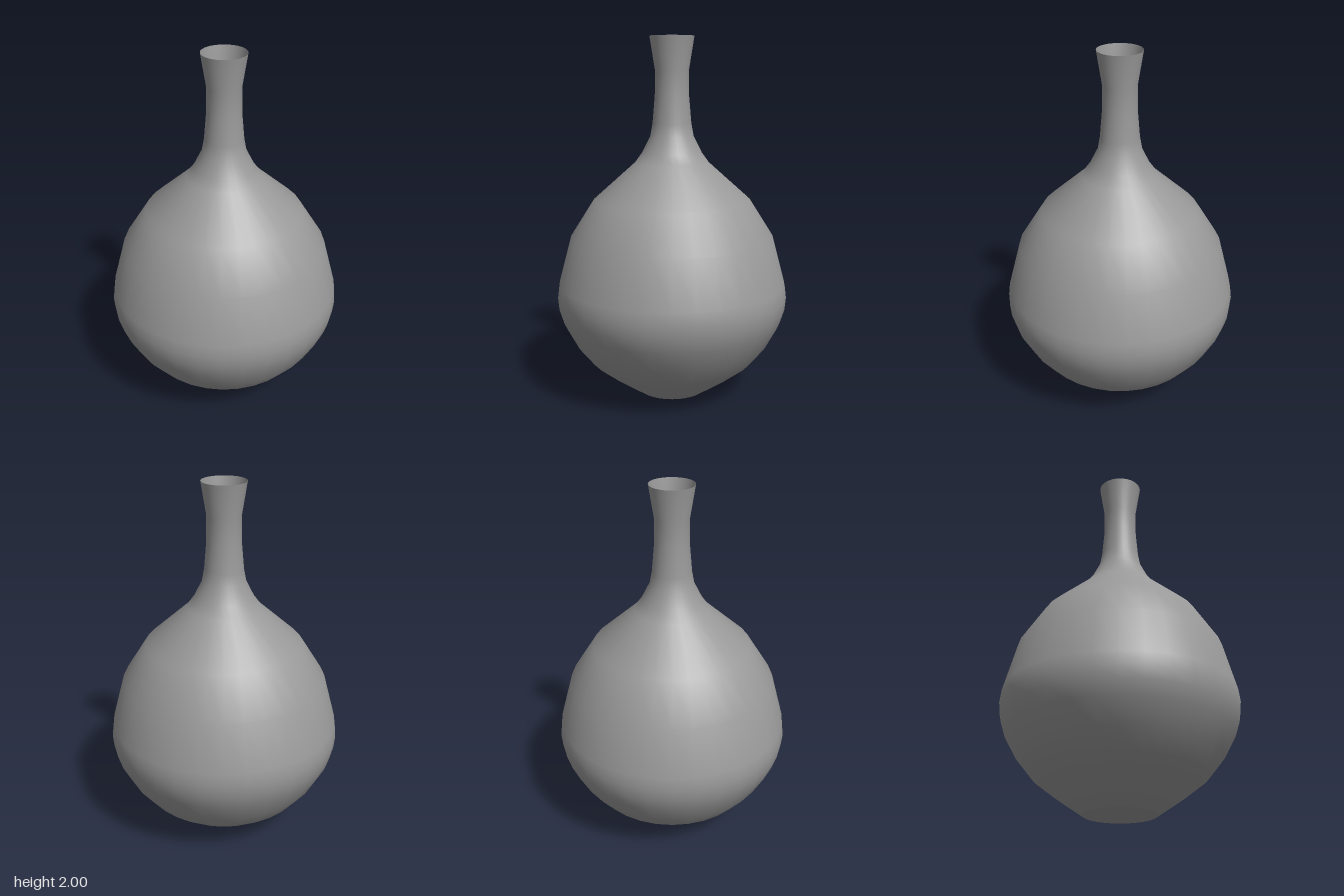
import * as THREE from 'three';

export function createModel() {
  const group = new THREE.Group();
  group.name = 'vase';
  const clay = new THREE.MeshStandardMaterial({ color: 0x999999, side: THREE.DoubleSide });
  clay.name = 'grey clay';
  const segments = 32;

  // Thin open wall, from the foot up to the flared lip: [radius, height]
  const profile = [
    [0.195, 0], [0.35, 0.106], [0.465, 0.195], [0.55, 0.3], [0.615, 0.42],
    [0.64, 0.5], [0.647, 0.57], [0.638, 0.64], [0.568, 0.9], [0.435, 1.11],
    [0.205, 1.315], [0.165, 1.37], [0.12, 1.46], [0.107, 1.53],
    [0.094, 1.68], [0.093, 1.82], [0.122, 2],
  ].map(([r, y]) => new THREE.Vector2(r, y));
  const wall = new THREE.Mesh(new THREE.LatheGeometry(profile, segments), clay);
  wall.name = 'body and neck';
  group.add(wall);

  // Flat foot closing the bottom
  const foot = new THREE.Mesh(new THREE.CircleGeometry(0.195, segments), clay);
  foot.name = 'foot';
  foot.rotation.x = Math.PI / 2;
  group.add(foot);

  return group;
}
